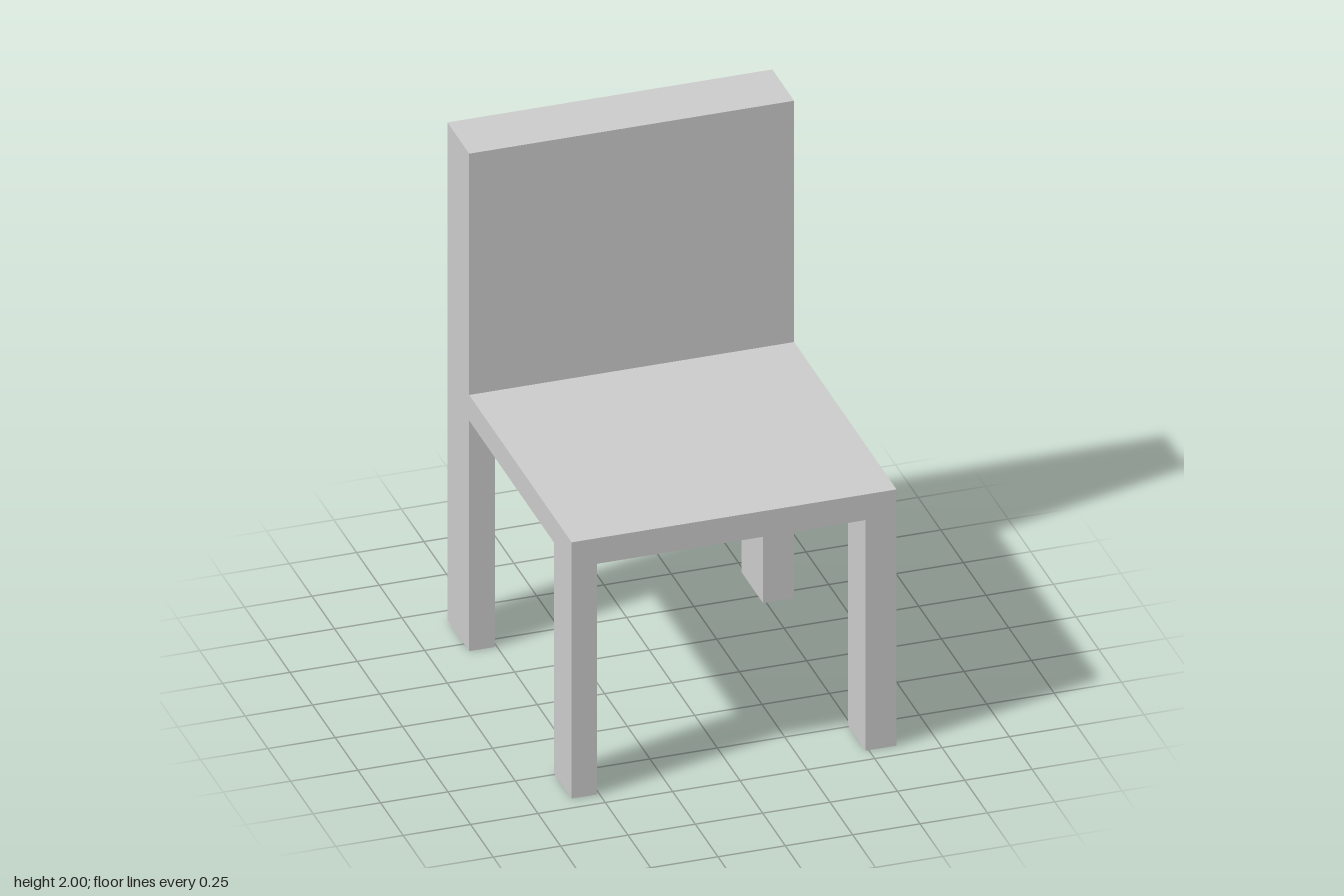
import * as THREE from 'three';

const material = new THREE.MeshStandardMaterial({ color: 0xcccccc, flatShading: true });

// Box given by its extents along each axis
function block(name, [x0, x1], [y0, y1], [z0, z1]) {
  const mesh = new THREE.Mesh(new THREE.BoxGeometry(x1 - x0, y1 - y0, z1 - z0), material);
  mesh.name = name;
  mesh.position.set((x0 + x1) / 2, (y0 + y1) / 2, (z0 + z1) / 2);
  return mesh;
}

export function createModel() {
  const chair = new THREE.Group();
  chair.name = 'chair';

  const width = [-0.603, 0.603];
  const underside = 0.927, seatTop = 1.03;
  const front = 0.685, back = -0.685, backrestFront = -0.445;

  // Seat slab and the thick upright backrest behind it
  chair.add(block('seat', width, [underside, seatTop], [backrestFront, front]));
  chair.add(block('backrest', width, [underside, 2], [back, backrestFront]));

  // Four legs; the left pair is slightly wider than the right pair
  const sides = { Left: [0.488, width[1]], Right: [width[0], -0.508] };
  const depths = { front: [0.492, front], back: [back, backrestFront] };
  for (const [side, x] of Object.entries(sides)) {
    for (const [end, z] of Object.entries(depths)) {
      chair.add(block(`${end}${side}Leg`, x, [0, underside], z));
    }
  }
  return chair;
}
